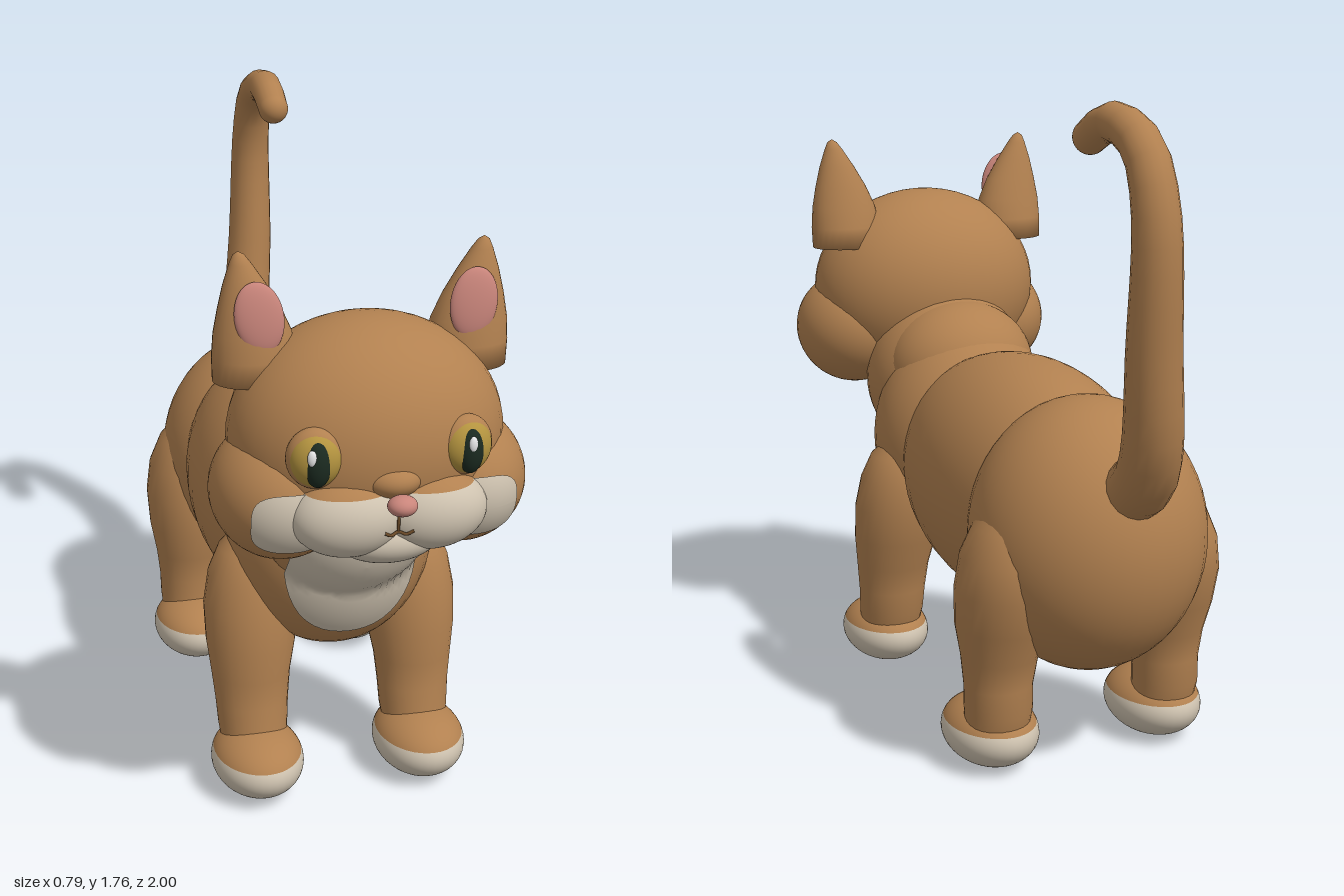
import * as THREE from 'three';

const mat = (name, color) => Object.assign(new THREE.MeshStandardMaterial({ color }), { name });

export function createModel() {
  const fur = mat('tan fur', 0xb28150);
  const cream = mat('cream fur', 0xcfc3b0);
  const pink = mat('pink skin', 0xc9857b);
  const gold = mat('gold iris', 0xb3933f);
  const dark = mat('dark pupil', 0x1b2a20);
  const brown = mat('brown lip', 0x6b4a28);
  const shine = mat('eye shine', 0xf0f0f0);
  const creamPatch = mat('cream patch', 0xcfc3b0);
  creamPatch.side = THREE.DoubleSide;

  const cat = new THREE.Group();
  cat.name = 'cat';

  const add = (name, geo, material, parent = cat) => {
    const m = new THREE.Mesh(geo, material);
    m.name = name;
    parent.add(m);
    return m;
  };
  // Ellipsoid, optionally only a band between two polar angles
  const ball = (name, material, [x, y, z], [rx, ry, rz], parent = cat, t0 = 0, t1 = Math.PI) => {
    const g = new THREE.SphereGeometry(1, 40, 28, 0, Math.PI * 2, t0, t1 - t0);
    const m = add(name, g, material, parent);
    m.position.set(x, y, z);
    m.scale.set(rx, ry, rz);
    return m;
  };
  // Ellipsoid in two colours, divided at height cut
  const splitBall = (name, c, r, cut, parent = cat) => {
    const t = Math.acos((cut - c[1]) / r[1]);
    ball(name + 'Top', fur, c, r, parent, 0, t);
    ball(name + 'Bottom', cream, c, r, parent, t, Math.PI);
  };
  // Closed skin over horizontal elliptical rings [y, cx, cz, rx, rz], bottom to top
  const loft = (rings, side, n = 28) => {
    const pos = [], idx = [];
    for (const [y, cx, cz, rx, rz] of rings)
      for (let j = 0; j < n; j++) {
        const a = (j / n) * Math.PI * 2;
        pos.push(side * cx + rx * Math.cos(a), y, cz + rz * Math.sin(a));
      }
    for (let i = 0; i < rings.length - 1; i++)
      for (let j = 0; j < n; j++) {
        const a = i * n + j, b = i * n + (j + 1) % n;
        idx.push(a, a + n, b, b, a + n, b + n);
      }
    const g = new THREE.BufferGeometry();
    g.setAttribute('position', new THREE.Float32BufferAttribute(pos, 3));
    g.setIndex(idx);
    g.computeVertexNormals();
    return g;
  };
  // Front surface height of an ellipsoid, used to lay patches on the body
  const frontZ = ([cx, cy, cz], [rx, ry, rz]) => (x, y) => {
    const k = 1 - ((x - cx) / rx) ** 2 - ((y - cy) / ry) ** 2;
    return k > 0 ? cz + rz * Math.sqrt(k) : -9;
  };
  // Thin rounded-square patch draped over the given surfaces
  const patch = (name, cx, cy, rx, ry, power, surfaces, lift) => {
    const g = new THREE.RingGeometry(0.001, 1, 48, 14);
    const p = g.attributes.position;
    for (let i = 0; i < p.count; i++) {
      const u = p.getX(i), v = p.getY(i), r = Math.hypot(u, v);
      const k = r / (Math.abs(u / r) ** power + Math.abs(v / r) ** power) ** (1 / power);
      const x = cx + rx * k * u / r, y = cy + ry * k * v / r;
      p.setXYZ(i, x, y, Math.max(0.5, ...surfaces.map(f => f(x, y))) + lift);
    }
    g.computeVertexNormals();
    return add(name, g, creamPatch);
  };

  // Trunk
  const chest = [[0, 0.72, 0.31], [0.28, 0.33, 0.27]];
  const neck = [[0, 0.87, 0.45], [0.25, 0.26, 0.25]];
  ball('belly', fur, [0, 0.68, -0.1], [0.3, 0.35, 0.55]);
  ball('hips', fur, [0, 0.635, -0.48], [0.315, 0.365, 0.32]);
  ball('chest', fur, ...chest);
  ball('neck', fur, ...neck);
  ball('nape', fur, [0, 0.92, 0.36], [0.22, 0.19, 0.2]);
  patch('bib', 0, 0.76, 0.18, 0.26, 2.4, [frontZ(...chest), frontZ(...neck)], 0.007);

  // Head
  const head = [[0, 1.12, 0.645], [0.345, 0.297, 0.28]];
  ball('head', fur, ...head);
  ball('chin', cream, [0, 0.925, 0.85], [0.13, 0.062, 0.085]);
  ball('noseBridge', fur, [0, 1.085, 0.86], [0.08, 0.05, 0.085]);
  ball('nose', pink, [0, 1.05, 0.967], [0.036, 0.025, 0.033]);

  // Mouth
  const stroke = (name, pts, r) => add(name, new THREE.TubeGeometry(
    new THREE.CatmullRomCurve3(pts.map(p => new THREE.Vector3(...p))), 16, r, 8), brown);
  stroke('mouthCleft', [[0, 1.04, 0.943], [0, 1.0, 0.94], [0, 0.975, 0.938]], 0.004);
  stroke('mouthLine', [[-0.036, 0.975, 0.947], [-0.018, 0.966, 0.943], [0, 0.972, 0.938],
    [0.018, 0.966, 0.943], [0.036, 0.975, 0.947]], 0.004);

  for (const s of [1, -1]) {
    const side = s > 0 ? 'left' : 'right';

    // Cheeks and muzzle
    const cheek = [[s * 0.225, 1.0, 0.675], [0.172, 0.17, 0.2]];
    ball(side + 'Cheek', fur, ...cheek);
    patch(side + 'CheekPatch', s * 0.225, 0.978, 0.105, 0.08, 3.2,
      [frontZ(...cheek), frontZ(...head)], 0.006);
    splitBall(side + 'Muzzle', [s * 0.1, 0.992, 0.86], [0.142, 0.1, 0.1], 1.058);

    // Eye
    const eye = new THREE.Group();
    eye.name = side + 'Eye';
    eye.position.set(s * 0.182, 1.147, 0.865);
    eye.rotation.y = s * 0.2;
    cat.add(eye);
    ball('eyelid', fur, [0, 0, 0], [0.07, 0.075, 0.046], eye);
    ball('iris', gold, [0, 0, 0.008], [0.063, 0.067, 0.048], eye);
    ball('pupil', dark, [-s * 0.004, -0.004, 0.035], [0.032, 0.056, 0.028], eye);
    ball('glint', shine, [-0.01, 0.02, 0.057], [0.011, 0.02, 0.008], eye);

    // Ear
    add(side + 'Ear', loft([
      [1.258, 0.27, 0.6, 0.001, 0.001],
      [1.26, 0.27, 0.603, 0.1, 0.085],
      [1.32, 0.268, 0.606, 0.104, 0.08],
      [1.38, 0.272, 0.608, 0.096, 0.069],
      [1.44, 0.28, 0.61, 0.077, 0.056],
      [1.5, 0.291, 0.61, 0.052, 0.04],
      [1.55, 0.3, 0.61, 0.027, 0.024],
      [1.572, 0.304, 0.61, 0.014, 0.013],
      [1.58, 0.305, 0.61, 0.001, 0.001]], s), fur);
    const inner = ball(side + 'InnerEar', pink, [s * 0.266, 1.428, 0.66], [0.06, 0.088, 0.02]);
    inner.rotation.set(-0.1, 0, -s * 0.16);

    // Front leg
    add(side + 'FrontLeg', loft([
      [0.1, 0.23, 0.39, 0.085, 0.08],
      [0.18, 0.23, 0.37, 0.095, 0.095],
      [0.25, 0.23, 0.36, 0.1, 0.09],
      [0.33, 0.23, 0.35, 0.108, 0.1],
      [0.42, 0.226, 0.335, 0.122, 0.122],
      [0.52, 0.222, 0.32, 0.128, 0.128],
      [0.61, 0.216, 0.31, 0.118, 0.12],
      [0.68, 0.21, 0.305, 0.094, 0.095],
      [0.73, 0.2, 0.3, 0.05, 0.055],
      [0.75, 0.2, 0.3, 0.001, 0.001]], s), fur);
    splitBall(side + 'FrontPaw', [s * 0.23, 0.1, 0.425], [0.125, 0.093, 0.163], 0.13);

    // Hind leg
    add(side + 'HindLeg', loft([
      [0.1, 0.25, -0.45, 0.085, 0.08],
      [0.18, 0.25, -0.465, 0.09, 0.095],
      [0.25, 0.25, -0.465, 0.092, 0.09],
      [0.33, 0.248, -0.468, 0.102, 0.105],
      [0.42, 0.246, -0.475, 0.12, 0.135],
      [0.52, 0.244, -0.49, 0.127, 0.15],
      [0.61, 0.24, -0.497, 0.118, 0.145],
      [0.69, 0.23, -0.5, 0.094, 0.115],
      [0.75, 0.22, -0.5, 0.05, 0.065],
      [0.77, 0.22, -0.5, 0.001, 0.001]], s), fur);
    splitBall(side + 'HindPaw', [s * 0.247, 0.1, -0.403], [0.125, 0.093, 0.163], 0.13);
  }

  // Tail: tapered tube with a rounded tip
  const curve = new THREE.CatmullRomCurve3([
    [-0.01, 0.78, -0.66], [0.01, 0.86, -0.8], [0.03, 0.96, -0.87], [0.055, 1.2, -0.915],
    [0.065, 1.53, -0.93], [0.065, 1.67, -0.865], [0.064, 1.72, -0.71], [0.062, 1.675, -0.595],
  ].map(p => new THREE.Vector3(...p)), false, 'centripetal');
  const steps = 20, radial = 18;
  const tailGeo = new THREE.TubeGeometry(curve, steps, 1, radial);
  const tp = tailGeo.attributes.position, v = new THREE.Vector3();
  for (let i = 0; i < tp.count; i++) {
    const t = Math.floor(i / (radial + 1)) / steps, c = curve.getPointAt(t);
    v.fromBufferAttribute(tp, i).sub(c).multiplyScalar(0.084 - 0.04 * t).add(c);
    tp.setXYZ(i, v.x, v.y, v.z);
  }
  add('tail', tailGeo, fur);
  ball('tailTip', fur, [0.062, 1.675, -0.595], [0.044, 0.044, 0.044]);

  return cat;
}
